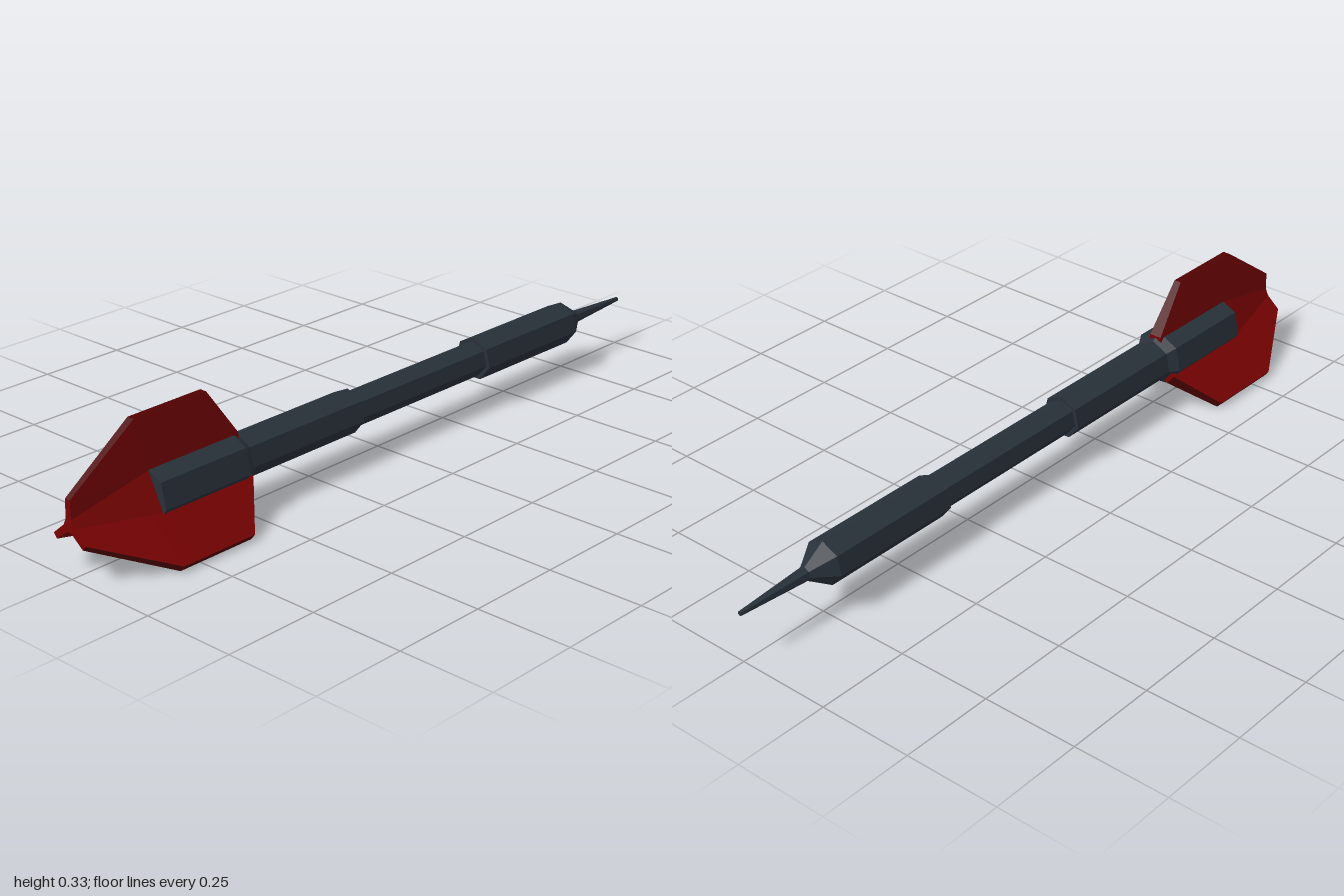
import * as THREE from 'three';

const AXIS_Y = 0.131;

export function createModel() {
  const group = new THREE.Group();
  const steel = new THREE.MeshStandardMaterial({ name: 'dark steel', color: 0x283039, flatShading: true });
  const red = new THREE.MeshStandardMaterial({ name: 'deep red', color: 0x780202, flatShading: true });
  const darkRed = new THREE.MeshStandardMaterial({ name: 'dark red rim', color: 0x500202, flatShading: true });

  const add = (name, geometry, material) => {
    const mesh = new THREE.Mesh(geometry, material);
    mesh.name = name;
    mesh.position.y = AXIS_Y;
    group.add(mesh);
  };

  // Seven-sided turned parts along z, one corner pointing up; profile is [radius, z]
  const turned = (name, profile) => {
    const points = profile.map(([r, z]) => new THREE.Vector2(r, z));
    const geometry = new THREE.LatheGeometry(points, 7, Math.PI);
    geometry.rotateX(Math.PI / 2);
    add(name, geometry, steel);
  };
  turned('needle', [[0, -1], [0.006, -1], [0.018, -0.8], [0, -0.8]]);
  turned('frontGrip', [[0.018, -0.8], [0.058, -0.74], [0.058, -0.37], [0, -0.37]]);
  turned('shaft', [[0.047, -0.37], [0.047, 0.11]]);
  turned('rearGrip', [[0, 0.11], [0.058, 0.11], [0.058, 0.49]]);
  turned('collar', [[0.058, 0.49], [0.075, 0.515], [0.075, 0.78], [0, 0.78]]);

  // Three tapered fins on a narrowing hub, lofted along z
  const finAngles = [90, 219, 321].map(THREE.MathUtils.degToRad);
  // [z, root radius, root half width, tip radius, tip half width]
  const sections = [
    [0.5, 0.06, 0.018, 0.07, 0.017],
    [0.59, 0.065, 0.018, 0.197, 0.01],
    [0.78, 0.065, 0.018, 0.197, 0.01],
    [0.81, 0.059, 0.017, 0.197, 0.01],
    [1.0, 0.016, 0.009, 0.063, 0.008],
  ];
  const ring = ([, rootR, rootW, tipR, tipW]) => finAngles.flatMap((a) =>
    [[rootR, -rootW], [tipR, -tipW], [tipR, tipW], [rootR, rootW]].map(([r, w]) =>
      new THREE.Vector2(r * Math.cos(a) - w * Math.sin(a), r * Math.sin(a) + w * Math.cos(a))));
  const rings = sections.map(ring);
  const n = rings[0].length;
  const positions = [];
  const sides = [];
  const rims = [];
  rings.forEach((pts, i) => pts.forEach((p) => positions.push(p.x, p.y, sections[i][0])));
  for (let i = 0; i < rings.length - 1; i++) {
    for (let j = 0; j < n; j++) {
      const a = i * n + j;
      const b = i * n + (j + 1) % n;
      const faces = j % 4 === 1 ? rims : sides; // the narrow outer edge of each fin is a rim
      faces.push(a, b, b + n, a, b + n, a + n);
    }
  }
  // End caps
  const last = (rings.length - 1) * n;
  for (const [a, b, c] of THREE.ShapeUtils.triangulateShape(rings[0], [])) sides.push(a, c, b);
  for (const [a, b, c] of THREE.ShapeUtils.triangulateShape(rings.at(-1), [])) {
    sides.push(last + a, last + b, last + c);
  }

  const finPart = (name, indices, material) => {
    const indexed = new THREE.BufferGeometry();
    indexed.setAttribute('position', new THREE.Float32BufferAttribute(positions, 3));
    indexed.setIndex(indices);
    const geometry = indexed.toNonIndexed();
    geometry.computeVertexNormals();
    add(name, geometry, material);
  };
  finPart('flightFins', sides, red);
  finPart('finRims', rims, darkRed);

  return group;
}
